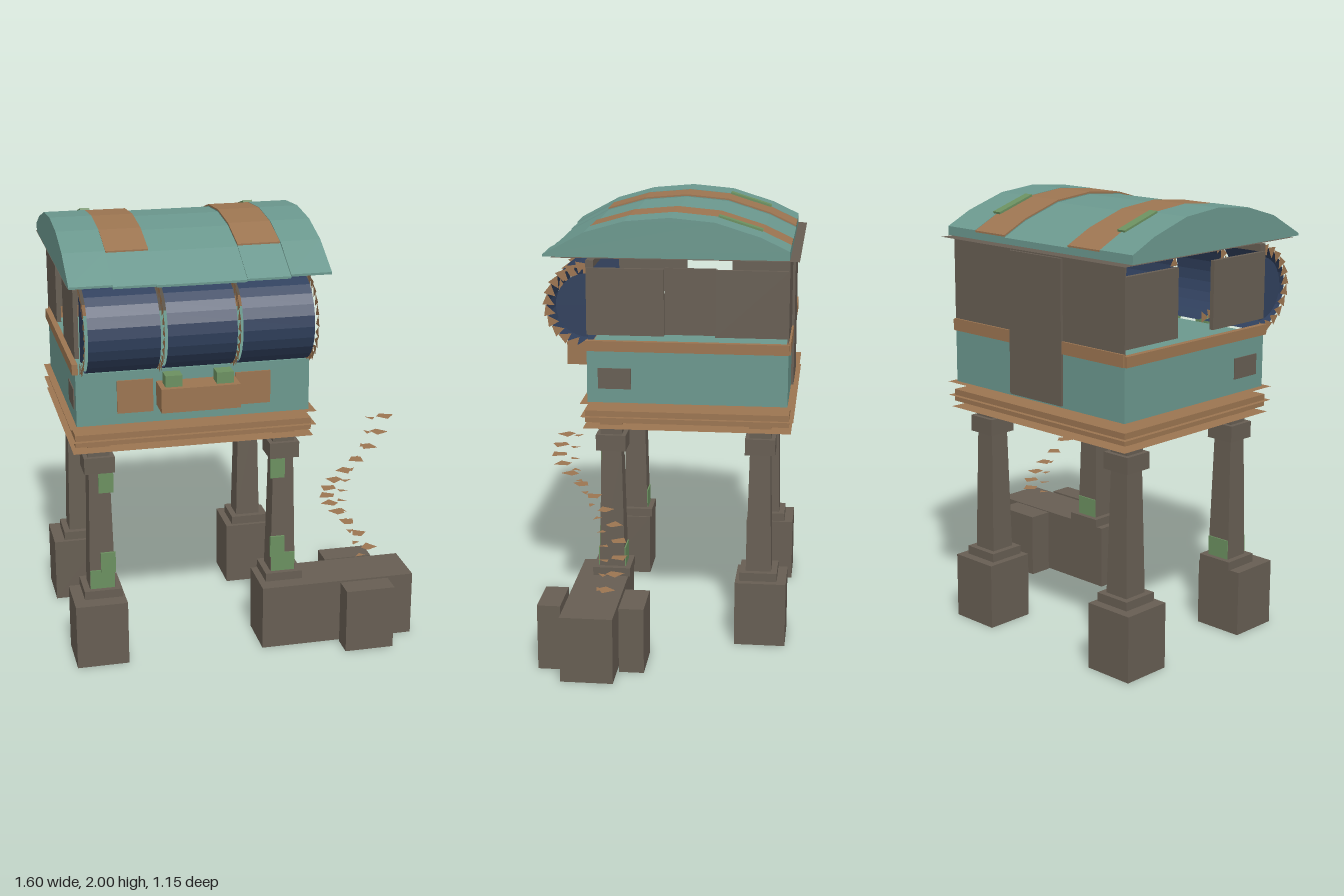
import * as THREE from 'three';

const mat = (name, color, side = THREE.FrontSide) => {
  const m = new THREE.MeshStandardMaterial({ color, side, flatShading: true });
  m.name = name;
  return m;
};

export function createModel() {
  const root = new THREE.Group();
  const teal = mat('teal paint', 0x6b988e);
  const wood = mat('brown wood', 0x9c7551, THREE.DoubleSide);
  const stone = mat('grey stone', 0x675e53, THREE.DoubleSide);
  const navy = mat('navy glass', 0x30405d, THREE.DoubleSide);
  const moss = mat('green moss', 0x6b9060);

  const add = (name, geo, m, parent = root) => {
    const mesh = new THREE.Mesh(geo, m);
    mesh.name = name;
    parent.add(mesh);
    return mesh;
  };
  // box given by its limits on each axis
  const box = (name, m, x0, x1, y0, y1, z0, z1, parent = root) =>
    add(name, new THREE.BoxGeometry(x1 - x0, y1 - y0, z1 - z0)
      .translate((x0 + x1) / 2, (y0 + y1) / 2, (z0 + z1) / 2), m, parent);
  // horizontal sheet without thickness
  const sheet = (name, m, x0, x1, z0, z1, y) =>
    add(name, new THREE.PlaneGeometry(x1 - x0, z1 - z0).rotateX(-Math.PI / 2)
      .translate((x0 + x1) / 2, y, (z0 + z1) / 2), m);
  // triangles from a flat list of corners
  const triangles = (name, pts, m) => {
    const g = new THREE.BufferGeometry();
    g.setAttribute('position', new THREE.Float32BufferAttribute(pts.flat(), 3));
    g.computeVertexNormals();
    return add(name, g, m);
  };

  // legs on stone plinths
  for (const [x, px] of [[-0.66, -0.68], [0.19, 0.19]]) {
    for (const [z, pz] of [[0.28, 0.32], [-0.405, -0.417]]) {
      const leg = new THREE.Group();
      leg.name = 'leg';
      root.add(leg);
      box('plinth', stone, px - 0.119, px + 0.119, 0, 0.305, pz - 0.118, pz + 0.118, leg);
      const around = (name, m, h, y0, y1) => box(name, m, x - h, x + h, y0, y1, z - h, z + h, leg);
      around('legFoot', stone, 0.087, 0.305, 0.345);
      add('legShaft', new THREE.CylinderGeometry(0.047 * Math.SQRT2, 0.059 * Math.SQRT2, 0.565, 4)
        .rotateY(Math.PI / 4).translate(x, 0.627, z), stone, leg);
      around('legCapital', stone, 0.069, 0.91, 0.985);
      around('legTop', stone, 0.049, 0.985, 1.04);
      box('legBracket', wood, x - 0.05, x + 0.05, 1.02, 1.06, z - 0.05, z + 0.052, leg);
      if (z > 0) {
        box('mossBand', moss, x - 0.056, x + 0.056, 0.345, 0.435, z - 0.063, z + 0.063, leg);
        const s = x < 0 ? 1 : -1;
        const cx = x + s * 0.028;
        box('mossPatch', moss, cx - 0.034, cx + 0.034, 0.42, 0.52, z + 0.055, z + 0.066, leg);
        box('mossPatch', moss, cx - 0.034, cx + 0.034, 0.81, 0.91, z + 0.046, z + 0.056, leg);
      }
    }
  }

  // stone landing around the stair
  box('landingMiddle', stone, 0.309, 0.798, 0, 0.305, 0.202, 0.438);
  box('landingFront', stone, 0.44, 0.67, 0, 0.305, 0.455, 0.56);
  box('landingBack', stone, 0.44, 0.67, 0, 0.305, 0.08, 0.193);

  // spiral stair of loose flat treads
  const treads = [];
  const steps = 13;
  for (let i = 0; i < steps; i++) {
    const a0 = 0.42 + (i / steps) * 5.4, a1 = a0 + 0.42;
    const y = 1.1 - i * 0.06;
    const p = (r, a, dy = 0) => [0.535 + r * Math.cos(a), y + dy, 0.335 + r * Math.sin(a)];
    treads.push(p(0.1, a0), p(0.1, a1), p(0.16, a1), p(0.1, a0), p(0.16, a1), p(0.165, a0));
    treads.push(p(0.035, a0, -0.02), p(0.08, a1, -0.02), p(0.08, a0, -0.02));
  }
  triangles('stairTreads', treads, wood);

  // platform: edge beam and overhanging boards
  box('platformBeam', wood, -0.77, 0.3, 1.057, 1.112, -0.535, 0.39);
  sheet('platformFloor', wood, -0.79, 0.32, -0.555, 0.41, 1.148);
  sheet('platformBoards', wood, -0.79, 0.32, -0.555, 0.41, 1.085);
  sheet('platformUnderside', wood, -0.78, 0.31, -0.545, 0.4, 1.03);

  // lower house body
  box('lowerWalls', teal, -0.76, 0.29, 1.15, 1.39, -0.527, 0.38);
  for (const s of [-1, 1]) {
    const x = s < 0 ? -0.761 : 0.291;
    box('sideWindow', stone, x - 0.004, x + 0.004, 1.215, 1.31, 0.18, 0.33);
    box('sideBand', wood, x - 0.013, x + 0.013, 1.39, 1.437, -0.53, 0.385);
    // grey upper side walls with the middle panel set back
    const w = s < 0 ? -0.75 : 0.28;
    box('sideWallFront', stone, w - 0.01, w + 0.01, 1.462, 1.765, 0.03, 0.38);
    box('sideWallBack', stone, w - 0.01, w + 0.01, 1.462, 1.765, -0.527, -0.2);
    if (s > 0) box('sideWallMiddle', stone, 0.245, 0.255, 1.462, 1.765, -0.2, 0.03);
  }

  // back wall, door and bands
  box('backWall', stone, -0.76, 0.29, 1.437, 1.815, -0.528, -0.522);
  box('door', stone, -0.4, -0.08, 1.16, 1.8, -0.54, -0.528);
  for (const [a, b] of [[-0.76, -0.4], [-0.08, 0.29]])
    box('backBand', wood, a, b, 1.39, 1.445, -0.537, -0.52);

  // front shutters and planter
  for (const x of [-0.58, -0.05])
    box('shutter', wood, x, x + 0.16, 1.2, 1.35, 0.378, 0.387);
  box('planter', wood, -0.41, -0.06, 1.237, 1.345, 0.405, 0.53);
  for (const x of [-0.387, -0.16])
    box('plant', moss, x, x + 0.075, 1.345, 1.396, 0.435, 0.505);

  // rounded front glazing in three bays
  const cy = 1.592, cz = 0.375;
  for (const [a, b] of [[-0.725, -0.415], [-0.385, -0.082], [-0.057, 0.26]])
    add('curvedGlass', new THREE.CylinderGeometry(0.19, 0.19, b - a, 12, 1, true, -Math.PI / 2, Math.PI)
      .rotateZ(Math.PI / 2).translate((a + b) / 2, cy, cz), navy);
  for (const x of [-0.735, 0.268])
    add('glassEnd', new THREE.CircleGeometry(0.145, 16, Math.PI / 2, Math.PI)
      .rotateY(Math.PI / 2).translate(x, cy, cz), navy);
  // toothed rims at the ends and between the bays
  const teeth = [];
  for (const x of [-0.74, -0.4, -0.07, 0.275]) {
    for (let i = 0; i < 12; i++) {
      const a = -Math.PI / 2 + (i / 12) * Math.PI, b = a + Math.PI / 12;
      const p = (r, t) => [x, cy + r * Math.sin(t), cz + r * Math.cos(t)];
      teeth.push(p(0.15, a), p(0.19, b), p(0.205, a));
    }
  }
  triangles('glassRims', teeth, wood);
  box('frontTopBeam', stone, -0.76, 0.29, 1.768, 1.8, 0.345, 0.38);

  // arched roof
  const arch = [[0.38, 1.93], [0.2, 1.982], [0, 2], [-0.2, 1.982], [-0.4, 1.92], [-0.527, 1.86]];
  const across = (pts, x0, x1) => new THREE.ExtrudeGeometry(
    new THREE.Shape(pts.map(([z, y]) => new THREE.Vector2(z, y))),
    { depth: x1 - x0, bevelEnabled: false }).rotateY(-Math.PI / 2).translate(x1, 0, 0);
  const drop = (d) => arch.map(([z, y]) => [z, y - d]);
  const roof = (x0, x1, d) => add('roof', across(
    [[0.565, 1.83 - d], ...drop(d), [-0.527, 1.82], [0.565, 1.82 - d]], x0, x1), teal);
  roof(-0.8, -0.615, 0);
  roof(-0.615, -0.43, 0.008);
  roof(-0.43, -0.04, 0.012);
  roof(-0.04, 0.15, 0.008);
  roof(0.15, 0.33, 0);
  for (const [a, b] of [[-0.614, -0.43], [-0.04, 0.149]])
    add('roofStripe', across([...drop(0.001), ...drop(0.0085).reverse()], a, b), wood);
  sheet('ceiling', stone, -0.8, 0.33, -0.57, 0.53, 1.816);
  // moss lying on the rear slope
  for (const x of [-0.615, 0.148])
    add('roofMoss', new THREE.BoxGeometry(0.043, 0.012, 0.208), moss)
      .position.set(x, 1.954, -0.3);
  root.children.filter((c) => c.name === 'roofMoss')
    .forEach((c) => { c.rotation.x = -Math.atan2(0.062, 0.2); });

  return root;
}
